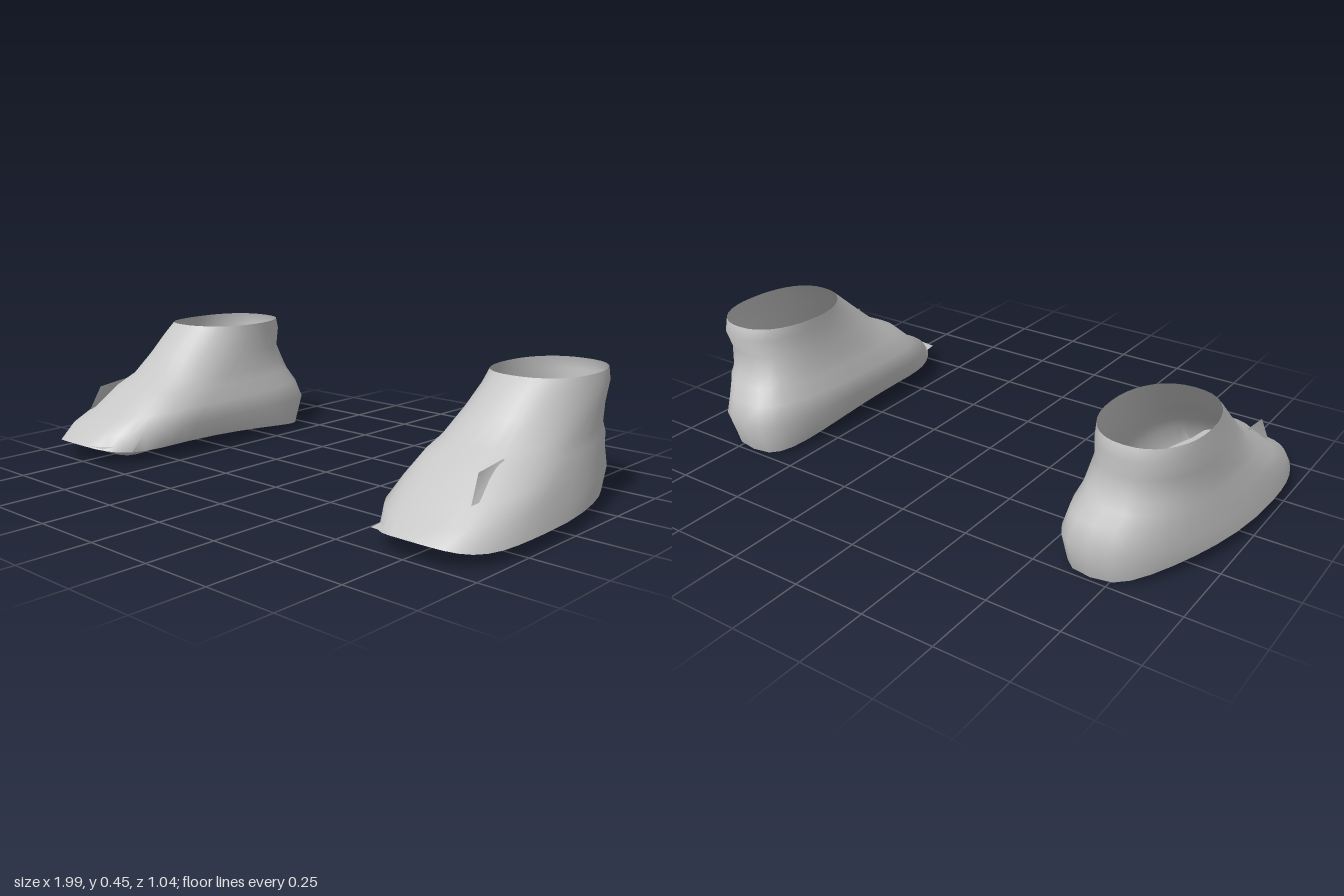
import * as THREE from 'three';
import { toCreasedNormals } from 'three/addons/utils/BufferGeometryUtils.js';

const N = 36;

// Outlines from the sole's centre line up to the ankle opening:
// inner/outer x, x of toe and heel tips, z of toe, heel and widest point,
// y of toe, middle and heel, dip under the ball of the foot, squareness p
const RINGS = [
  { xi: 0.76, xo: 0.76, tf: 0.74, tb: 0.69, zf: 0.37, zb: -0.475, zw: 0.1, yf: 0.01, ym: 0.055, yb: 0.004, dip: 0.004, p: 0.72 },
  { xi: 0.60, xo: 0.93, tf: 0.74, tb: 0.69, zf: 0.37, zb: -0.475, zw: 0.1, yf: 0.01, ym: 0.055, yb: 0.004, dip: 0.004, p: 0.72 },
  { xi: 0.55, xo: 0.995, tf: 0.78, tb: 0.69, zf: 0.515, zb: -0.485, zw: 0.16, yf: 0.07, ym: 0.052, yb: 0.005, dip: 0.014, p: 0.68 },
  { xi: 0.523, xo: 0.985, tf: 0.77, tb: 0.69, zf: 0.465, zb: -0.522, zw: 0.14, yf: 0.105, ym: 0.12, yb: 0.12, dip: 0, p: 0.7 },
  { xi: 0.535, xo: 0.968, tf: 0.75, tb: 0.70, zf: 0.375, zb: -0.495, zw: 0.08, yf: 0.155, ym: 0.18, yb: 0.19, dip: 0, p: 0.7 },
  { xi: 0.555, xo: 0.95, tf: 0.74, tb: 0.72, zf: 0.285, zb: -0.465, zw: -0.02, yf: 0.235, ym: 0.235, yb: 0.24, dip: 0, p: 0.7 },
  { xi: 0.565, xo: 0.942, tf: 0.74, tb: 0.72, zf: 0.205, zb: -0.45, zw: -0.06, yf: 0.268, ym: 0.27, yb: 0.27, dip: 0, p: 0.74 },
  { xi: 0.58, xo: 0.932, tf: 0.75, tb: 0.74, zf: 0.115, zb: -0.432, zw: -0.14, yf: 0.35, ym: 0.34, yb: 0.34, dip: 0, p: 0.82 },
  { xi: 0.588, xo: 0.922, tf: 0.76, tb: 0.75, zf: 0.045, zb: -0.452, zw: -0.2, yf: 0.415, ym: 0.405, yb: 0.405, dip: 0, p: 0.86 },
  { xi: 0.59, xo: 0.915, tf: 0.76, tb: 0.75, zf: 0.0, zb: -0.44, zw: -0.22, yf: 0.453, ym: 0.448, yb: 0.447, dip: 0, p: 0.88 },
];

const rounded = (v, p) => Math.sign(v) * Math.abs(v) ** p;

function makeGeometry(positions, index, crease) {
  const g = new THREE.BufferGeometry();
  g.setAttribute('position', new THREE.Float32BufferAttribute(positions, 3));
  g.setIndex(index);
  return toCreasedNormals(g, crease);
}

// Skin lofted through the outlines, open at the ankle
function shoeGeometry(side) {
  const pos = [], idx = [];
  for (const r of RINGS) {
    const mid = (r.xi + r.xo) / 2, half = (r.xo - r.xi) / 2;
    for (let i = 0; i < N; i++) {
      const a = (i / N) * Math.PI * 2;
      const s = rounded(Math.sin(a), r.p), c = rounded(Math.cos(a), 0.92);
      const k = c * c;
      const x = mid + ((c > 0 ? r.tf : r.tb) - mid) * k + half * s;
      const z = r.zw + (c > 0 ? r.zf - r.zw : r.zw - r.zb) * c;
      // The outer edge stays high until close to the heel tip
      const y = c > 0
        ? r.ym + (r.yf - r.ym) * k - r.dip * 4 * k * (1 - k)
        : r.ym + (r.yb - r.ym) * (s > 0 ? k ** 3 : k);
      pos.push(side * x, y, z);
    }
  }
  for (let j = 0; j < RINGS.length - 1; j++) {
    for (let i = 0; i < N; i++) {
      const a = j * N + i, b = j * N + ((i + 1) % N), c = b + N, d = a + N;
      if (side > 0) idx.push(a, b, c, a, c, d);
      else idx.push(a, c, b, a, d, c);
    }
  }
  return makeGeometry(pos, idx, 0.9);
}

// Thin four-cornered flap
function flapGeometry(side, corners) {
  const pos = corners.flatMap(([x, y, z]) => [side * x, y, z]);
  return makeGeometry(pos, side > 0 ? [0, 1, 2, 0, 2, 3] : [0, 2, 1, 0, 3, 2], 0.9);
}

export function createModel() {
  const leather = new THREE.MeshStandardMaterial({ color: 0xc6c6c6, side: THREE.DoubleSide });
  leather.name = 'light grey leather';
  const model = new THREE.Group();
  model.name = 'pairOfShoes';

  for (const side of [1, -1]) {
    const shoe = new THREE.Group();
    shoe.name = side > 0 ? 'leftShoe' : 'rightShoe';
    const add = (name, geometry) => {
      const mesh = new THREE.Mesh(geometry, leather);
      mesh.name = name;
      shoe.add(mesh);
    };
    add('shoeBody', shoeGeometry(side));
    // Pointed welt at the inner corner of the toe
    add('toeFlap', flapGeometry(side, [[0.61, 0.07, 0.36], [0.63, 0.07, 0.495], [0.79, 0.072, 0.515], [0.8, 0.09, 0.4]]));
    // Fold standing up on the outer side of the instep
    add('instepFold', flapGeometry(side, [[0.88, 0.155, 0.365], [0.93, 0.2, 0.14], [0.87, 0.255, 0.2], [0.87, 0.24, 0.32]]));
    model.add(shoe);
  }
  return model;
}
